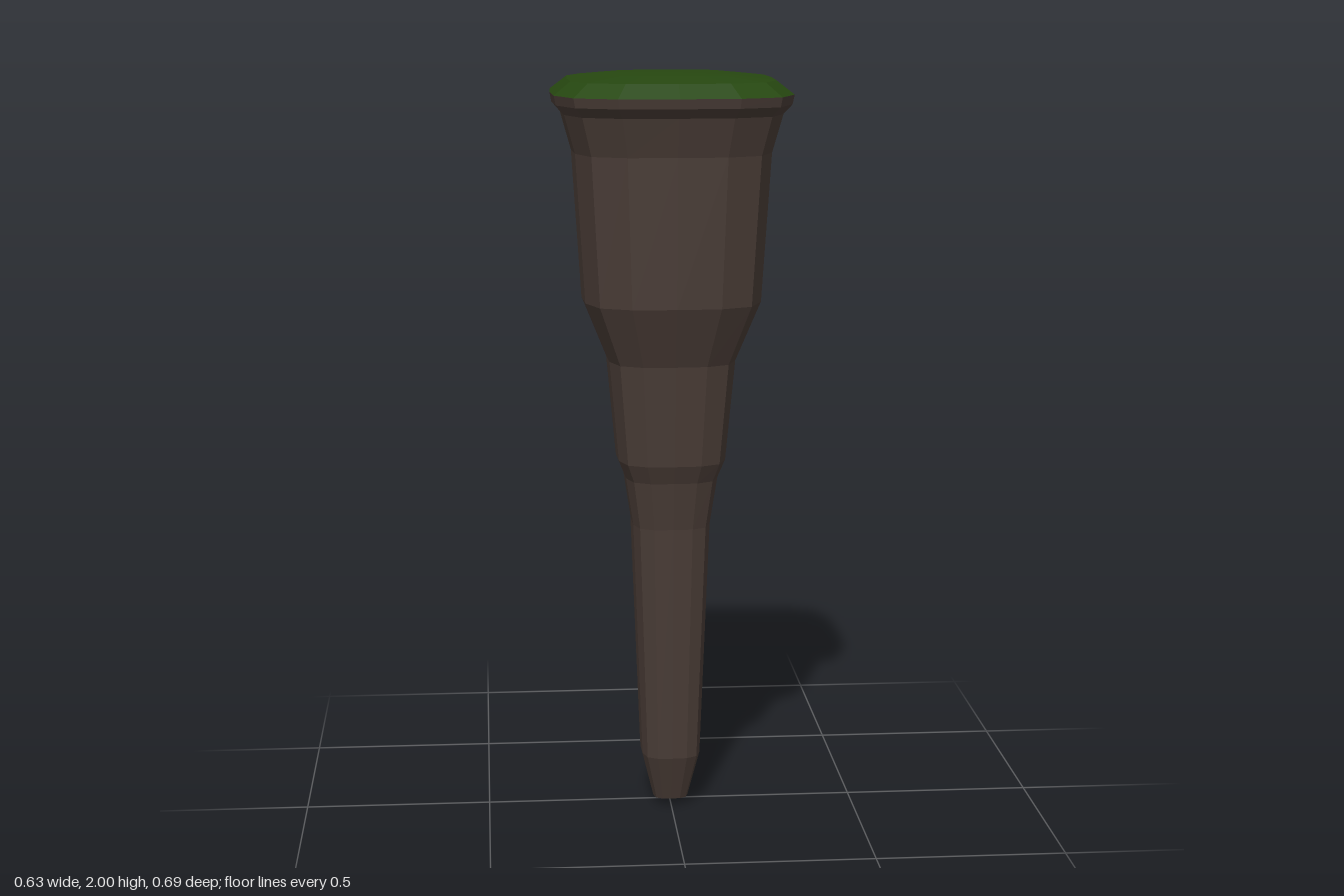
import * as THREE from 'three';

// Quarter of the rounded-square outline, turned four times to make 16 sides
const QUARTER = [[1, 0], [0.98, 0.49], [0.835, 0.835], [0.49, 0.98]];
const OUTLINE = [0, 1, 2, 3].flatMap((q) => QUARTER.map(([a, b]) =>
  [[a, b], [-b, a], [-a, -b], [b, -a]][q]));

// Skin a stack of levels [y, half width, half depth], listed from bottom to top
function loft(levels) {
  const pos = [];
  const n = OUTLINE.length;
  const point = ([y, hx, hz], i) => {
    const [a, b] = OUTLINE[i % n];
    return [a * hx, y, b * hz];
  };
  for (let k = 0; k < levels.length - 1; k++) {
    const lo = levels[k], hi = levels[k + 1];
    for (let i = 0; i < n; i++) {
      const a = point(lo, i), b = point(lo, i + 1), c = point(hi, i), d = point(hi, i + 1);
      if (lo[1] > 0) pos.push(...a, ...c, ...b);
      if (hi[1] > 0) pos.push(...b, ...c, ...d);
    }
  }
  const geo = new THREE.BufferGeometry();
  geo.setAttribute('position', new THREE.Float32BufferAttribute(pos, 3));
  geo.computeVertexNormals();
  return geo;
}

export function createModel() {
  const rock = new THREE.MeshStandardMaterial({ color: 0x483b35, flatShading: true });
  rock.name = 'brown rock';
  const grass = new THREE.MeshStandardMaterial({ color: 0x264710, flatShading: true });
  grass.name = 'dark green grass';

  const group = new THREE.Group();
  group.name = 'rockPillar';

  // Stepped pillar widening upward from a blunt tip
  const pillar = new THREE.Mesh(loft([
    [0.0, 0, 0],
    [0.02, 0.048, 0.065],
    [0.15, 0.08, 0.108],
    [0.8, 0.105, 0.14],
    [0.93, 0.125, 0.16],
    [0.98, 0.145, 0.18],
    [1.25, 0.17, 0.205],
    [1.41, 0.235, 0.265],
    [1.8, 0.26, 0.29],
    [1.9, 0.288, 0.316],
    [1.925, 0.31, 0.34],
    [1.95, 0.315, 0.345],
  ]), rock);
  pillar.name = 'pillar';

  // Grass cap with a bevelled rim and a nearly flat top
  const cap = new THREE.Mesh(loft([
    [1.95, 0.315, 0.345],
    [1.985, 0.27, 0.295],
    [1.998, 0.155, 0.17],
    [2.0, 0, 0],
  ]), grass);
  cap.name = 'grassCap';

  group.add(pillar, cap);
  return group;
}
